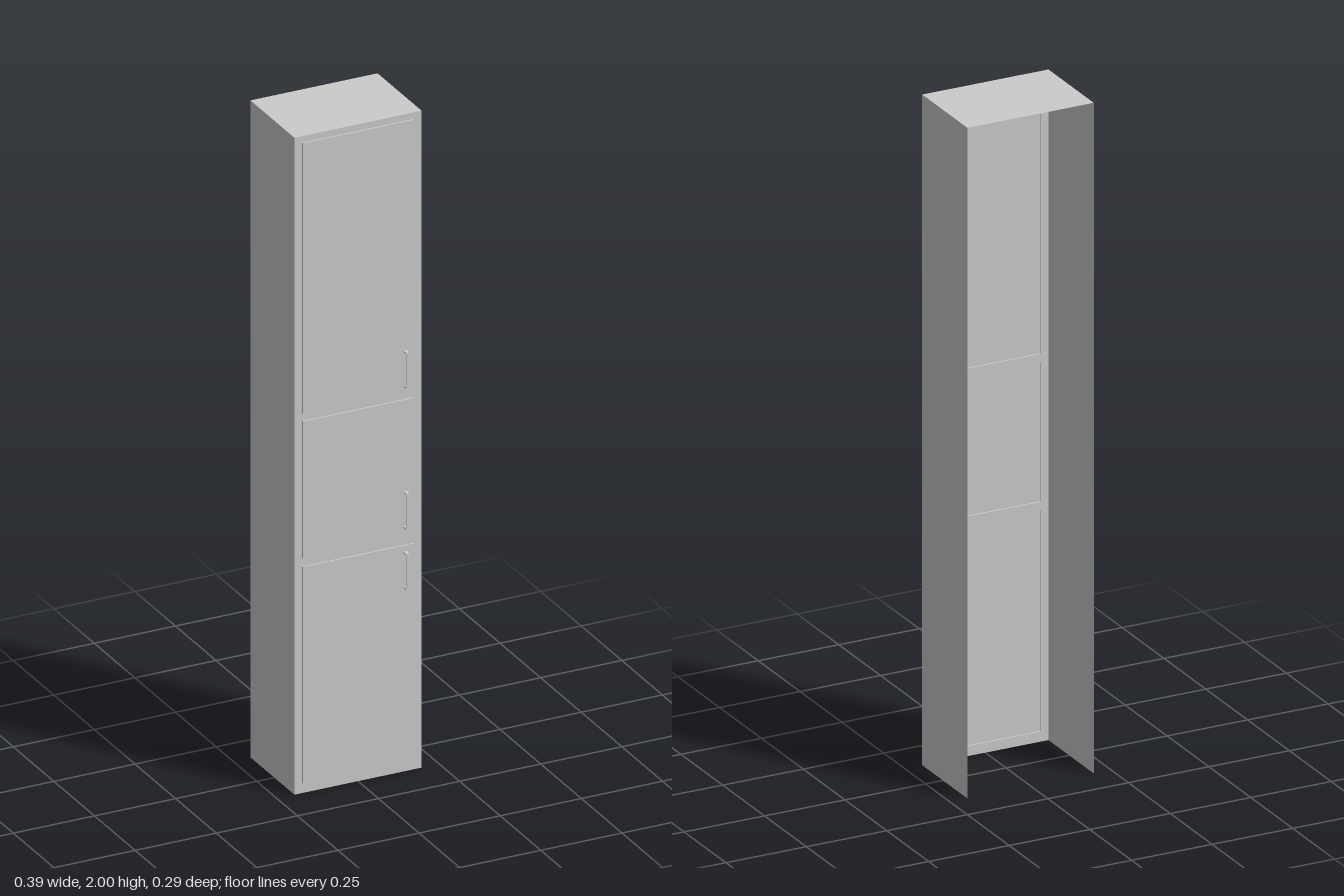
import * as THREE from 'three';

const material = new THREE.MeshStandardMaterial({ color: 0xcccccc, side: THREE.DoubleSide });
const HALF_W = 0.196, HEIGHT = 2, BACK = -0.147, FRONT = 0.124, DOOR_FRONT = 0.129, HANDLE_FRONT = 0.147;
const DOOR_X = [-0.172, 0.171];

// bottom and top of each door, and of its handle
const doors = [
  { name: 'lower', y: [0.03, 0.69], handle: [0.562, 0.672] },
  { name: 'middle', y: [0.715, 1.133], handle: [0.745, 0.855] },
  { name: 'upper', y: [1.156, 1.98], handle: [1.174, 1.284] },
];

function addMesh(parent, name, geometry) {
  const mesh = new THREE.Mesh(geometry, material);
  mesh.name = name;
  parent.add(mesh);
  return mesh;
}

// box between two corners; faces: 0 +x, 1 -x, 2 +y, 3 -y, 4 +z, 5 -z
function box([x0, x1], [y0, y1], [z0, z1], faces = [0, 1, 2, 3, 4, 5]) {
  const g = new THREE.BoxGeometry(x1 - x0, y1 - y0, z1 - z0);
  g.translate((x0 + x1) / 2, (y0 + y1) / 2, (z0 + z1) / 2);
  const index = Array.from(g.index.array);
  g.setIndex(faces.flatMap((f) => index.slice(f * 6, f * 6 + 6)));
  g.clearGroups();
  return g;
}

function rectangle(path, [x0, x1], [y0, y1]) {
  return path.moveTo(x0, y0).lineTo(x1, y0).lineTo(x1, y1).lineTo(x0, y1).closePath();
}

export function createModel() {
  const cabinet = new THREE.Group();
  cabinet.name = 'tallCabinet';

  // thin sides and top, open at the back and bottom
  addMesh(cabinet, 'sidesAndTop', box([-HALF_W, HALF_W], [0, HEIGHT], [BACK, FRONT], [0, 1, 2]));

  // front frame with a hole behind each door
  const frame = rectangle(new THREE.Shape(), [-HALF_W, HALF_W], [0, HEIGHT]);
  for (const d of doors) frame.holes.push(rectangle(new THREE.Path(), DOOR_X, d.y));
  addMesh(cabinet, 'frontFrame', new THREE.ShapeGeometry(frame)).position.z = FRONT;

  for (const d of doors) {
    // raised door, hollow from behind
    addMesh(cabinet, d.name + 'Door', box(DOOR_X, d.y, [FRONT, DOOR_FRONT], [0, 1, 2, 3, 4]));

    // bar handle on two short posts
    const handle = new THREE.Group();
    handle.name = d.name + 'Handle';
    cabinet.add(handle);
    const [y0, y1] = d.handle, post = 0.004;
    addMesh(handle, 'bar', box([0.138, 0.147], [y0 + post, y1 - post], [HANDLE_FRONT - 0.004, HANDLE_FRONT]));
    for (const y of [y0, y1 - post]) {
      addMesh(handle, 'post', box([0.137, 0.148], [y, y + post], [DOOR_FRONT, HANDLE_FRONT]));
    }
  }
  return cabinet;
}
